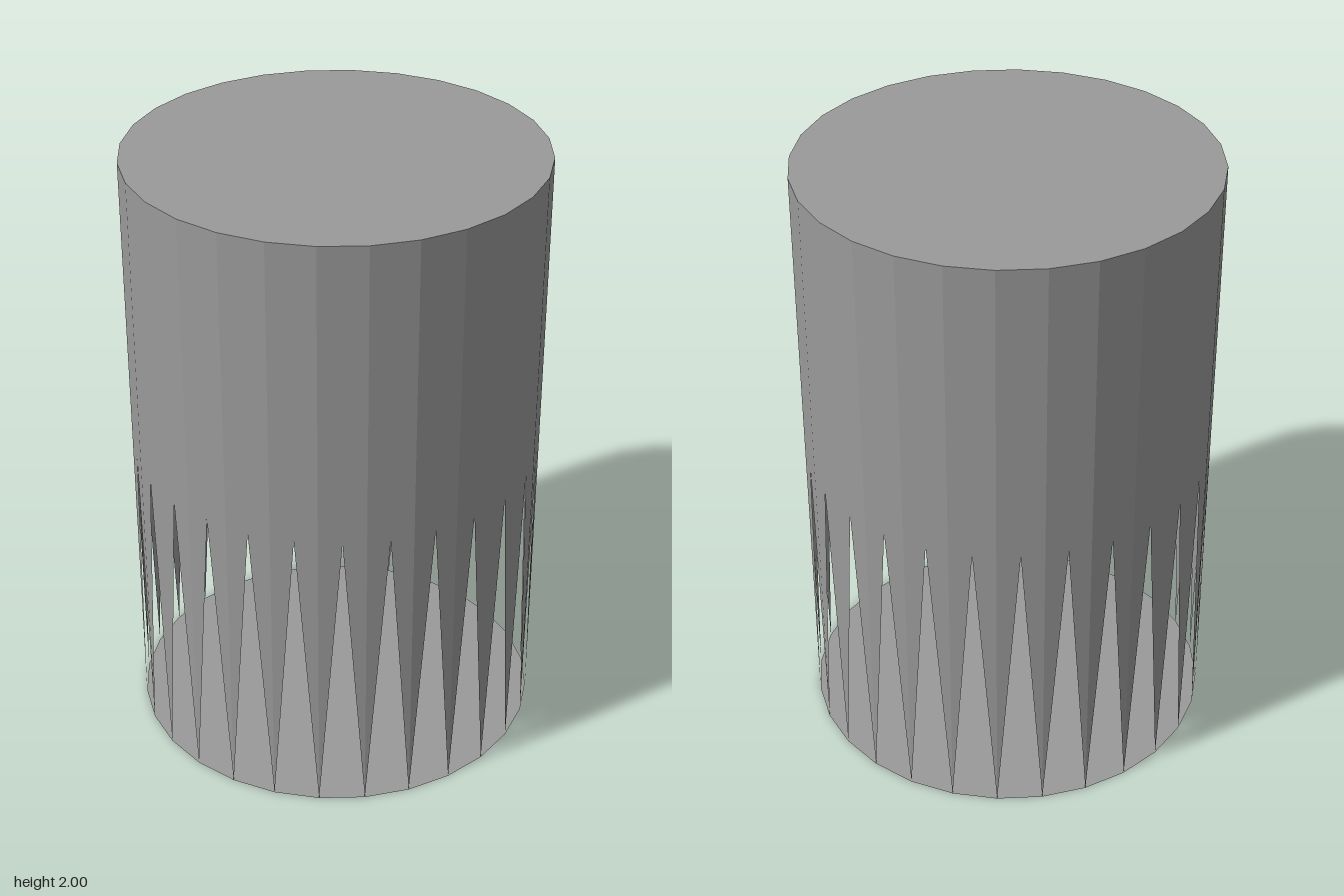
import * as THREE from 'three';

const SIDES = 28, RADIUS = 0.667, TOP = 2, MIDDLE = 1;

export function createModel() {
  const model = new THREE.Group();
  model.name = 'toothedDrum';
  const grey = new THREE.MeshStandardMaterial({ color: 0x9a9a9a, side: THREE.DoubleSide });
  grey.name = 'grey';

  const add = (name, geometry) => {
    const mesh = new THREE.Mesh(geometry, grey);
    mesh.name = name;
    model.add(mesh);
    return mesh;
  };

  // Corner of the drum's polygon at a given height
  const corner = (i, y) => {
    const a = (i / SIDES) * Math.PI * 2;
    return new THREE.Vector3(Math.sin(a) * RADIUS, y, Math.cos(a) * RADIUS);
  };

  // Each facet is a flat panel above and two half teeth below
  const panels = [], teeth = [];
  for (let i = 0; i < SIDES; i++) {
    const left = corner(i, MIDDLE), right = corner(i + 1, MIDDLE);
    const leftTop = corner(i, TOP), rightTop = corner(i + 1, TOP);
    const notch = left.clone().lerp(right, 0.5);
    panels.push(left, right, rightTop, left, rightTop, leftTop);
    teeth.push(left, corner(i, 0), notch, notch, corner(i + 1, 0), right);
  }
  for (const [name, points] of [['wall', panels], ['teeth', teeth]]) {
    const geometry = new THREE.BufferGeometry().setFromPoints(points);
    geometry.computeVertexNormals();
    add(name, geometry);
  }

  // Lid and base discs
  const disc = new THREE.CircleGeometry(RADIUS, SIDES);
  add('lid', disc.clone().rotateX(-Math.PI / 2)).position.y = TOP;
  add('base', disc.clone().rotateX(Math.PI / 2));

  return model;
}
